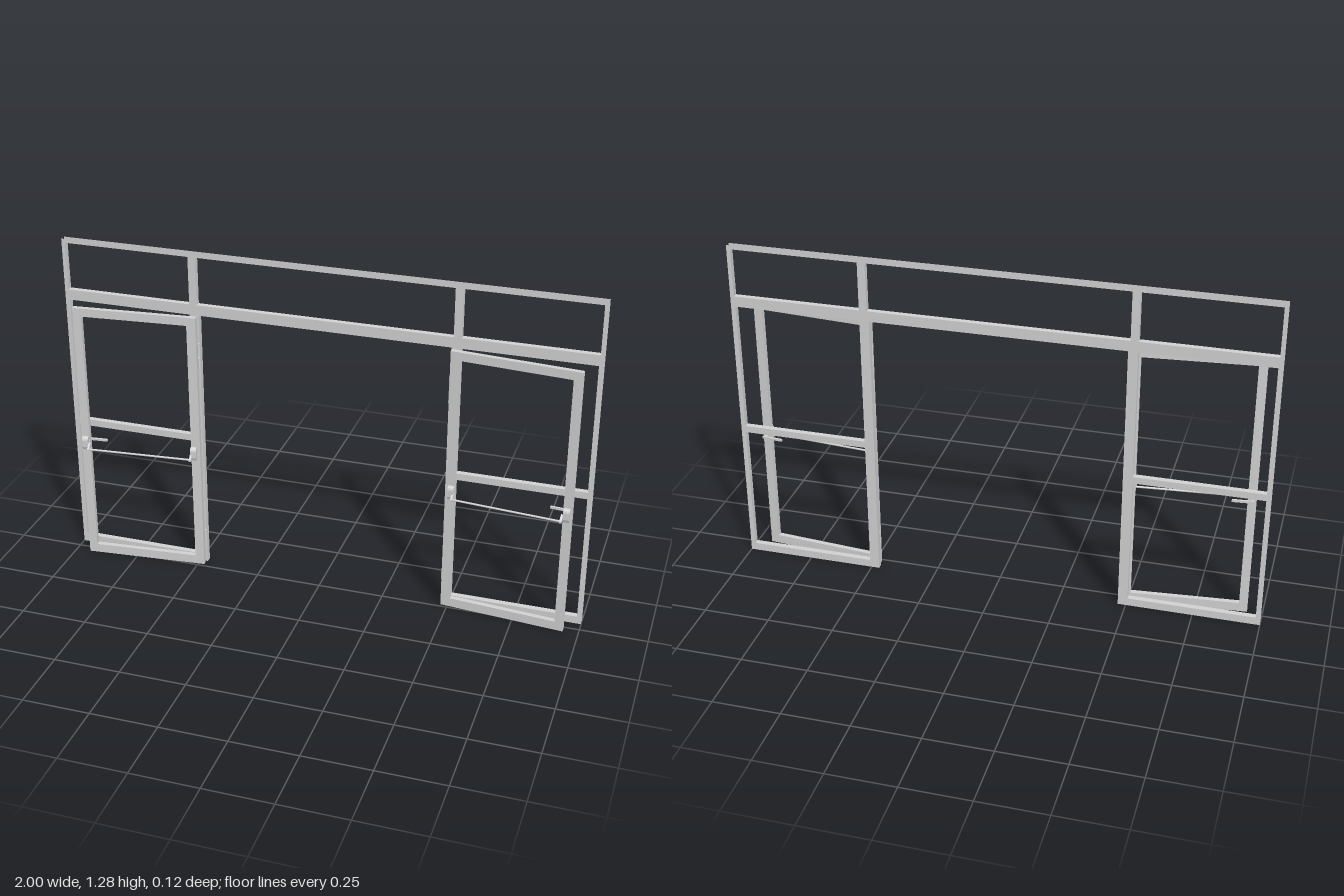
import * as THREE from 'three';
import { mergeGeometries } from 'three/addons/utils/BufferGeometryUtils.js';

// Double sided because the frame sections are open along their outer rim
const metal = new THREE.MeshStandardMaterial({ color: 0xd3d3d3, side: THREE.DoubleSide });
metal.name = 'light grey metal';

const FRONT = -0.038, BACK = -0.06; // wall frame depth
const MID = (FRONT + BACK) / 2, DEPTH = FRONT - BACK;

function add(parent, name, geometry, x = 0, y = 0, z = 0) {
  const mesh = new THREE.Mesh(geometry, metal);
  mesh.name = name;
  mesh.position.set(x, y, z);
  parent.add(mesh);
}

function rectPath(x0, y0, x1, y1, Type = THREE.Path) {
  const p = new Type();
  p.moveTo(x0, y0);
  p.lineTo(x1, y0);
  p.lineTo(x1, y1);
  p.lineTo(x0, y1);
  p.closePath();
  return p;
}

// Faces lining the inside of an opening
function reveal([x0, y0, x1, y1], sill = true) {
  const w = x1 - x0, h = y1 - y0, cx = (x0 + x1) / 2, cy = (y0 + y1) / 2;
  const faces = [
    new THREE.PlaneGeometry(DEPTH, h).rotateY(Math.PI / 2).translate(x0, cy, MID),
    new THREE.PlaneGeometry(DEPTH, h).rotateY(-Math.PI / 2).translate(x1, cy, MID),
    new THREE.PlaneGeometry(w, DEPTH).rotateX(Math.PI / 2).translate(cx, y1, MID),
  ];
  if (sill) faces.push(new THREE.PlaneGeometry(w, DEPTH).rotateX(-Math.PI / 2).translate(cx, y0, MID));
  return faces;
}

// Storefront frame: front and back sheets plus lined openings, outer rim left open
function buildFrame(group) {
  const HEAD = 1.043, JAMB = 0.47;
  const windows = [[-0.477, 1.083, 0.477, 1.266]];
  for (const [y0, y1, outer] of [[0.03, 0.525, 0.983], [0.551, HEAD, 0.983], [1.083, 1.266, 0.986]]) {
    windows.push([-outer, y0, -0.506, y1], [0.506, y0, outer, y1]);
  }
  const shape = new THREE.Shape([
    [-1, 0], [-JAMB, 0], [-JAMB, HEAD], [JAMB, HEAD],
    [JAMB, 0], [1, 0], [1, 1.281], [-1, 1.281],
  ].map(([x, y]) => new THREE.Vector2(x, y)));
  windows.forEach((w) => shape.holes.push(rectPath(...w)));

  add(group, 'frameFront', new THREE.ShapeGeometry(shape), 0, 0, FRONT);
  add(group, 'frameBack', new THREE.ShapeGeometry(shape).rotateY(Math.PI), 0, 0, BACK);
  const linings = windows.flatMap((w) => reveal(w));
  linings.push(...reveal([-JAMB, 0, JAMB, HEAD], false));
  add(group, 'frameReveals', mergeGeometries(linings));
}

// Door leaf, slightly open; side = +1 or -1
function buildDoor(side) {
  const door = new THREE.Group();
  door.name = side > 0 ? 'leftDoor' : 'rightDoor';
  door.position.set(side * 0.476, 0, -0.03);
  door.rotation.y = -side * 0.09;
  const T = 0.019, LENGTH = 0.47;

  const leaf = rectPath(0, 0.001, side * LENGTH, 1.042, THREE.Shape);
  leaf.holes.push(rectPath(side * 0.035, 0.036, side * (LENGTH - 0.032), 1.01));
  add(door, 'doorLeaf', new THREE.ExtrudeGeometry(leaf, { depth: T, bevelEnabled: false }));

  // Push bar with a bracket and sloping arm at each end
  const bar = new THREE.CylinderGeometry(0.004, 0.004, 0.402, 10).rotateZ(Math.PI / 2);
  add(door, 'pushBar', bar, side * 0.233, 0.47, 0.041);
  const bracket = new THREE.Shape();
  bracket.moveTo(0, 0.463);
  bracket.lineTo(0.011, 0.463);
  bracket.lineTo(0.015, 0.475);
  bracket.lineTo(0.015, 0.5);
  bracket.quadraticCurveTo(0.013, 0.515, 0, 0.515);
  bracket.closePath();
  const arm = new THREE.Shape([
    [0.008, 0.492], [0.008, 0.474], [0.018, 0.466], [0.03, 0.466], [0.03, 0.473],
  ].map(([z, y]) => new THREE.Vector2(z, y)));
  const fittings = [
    ['barBracket', bracket, 0.023, [0.024, 0.453]],
    ['barArm', arm, 0.008, [0.033, 0.437]],
  ];
  for (const [name, outline, width, places] of fittings) {
    for (const x of places) {
      const g = new THREE.ExtrudeGeometry(outline, { depth: width, bevelEnabled: false, curveSegments: 5 });
      g.translate(0, 0, -width / 2).rotateY(-Math.PI / 2);
      add(door, name, g, side * x, 0, T);
    }
  }

  // Back plate and lever handle
  add(door, 'handlePlate', new THREE.BoxGeometry(0.018, 0.105, 0.005), side * 0.453, 0.46, -0.0025);
  const spindle = new THREE.CylinderGeometry(0.005, 0.005, 0.02, 10).rotateX(Math.PI / 2);
  add(door, 'handleSpindle', spindle, side * 0.453, 0.484, -0.012);
  add(door, 'handleLever', new THREE.BoxGeometry(0.08, 0.008, 0.009), side * 0.422, 0.484, -0.021);

  // Hinges
  for (const y of [0.912, 0.856, 0.122]) {
    add(door, 'hinge', new THREE.CylinderGeometry(0.005, 0.005, 0.046, 10), -side * 0.003, y, -0.002);
  }
  return door;
}

export function createModel() {
  const model = new THREE.Group();
  model.name = 'doubleDoorEntrance';
  const frame = new THREE.Group();
  frame.name = 'frame';
  buildFrame(frame);
  model.add(frame, buildDoor(1), buildDoor(-1));
  return model;
}
